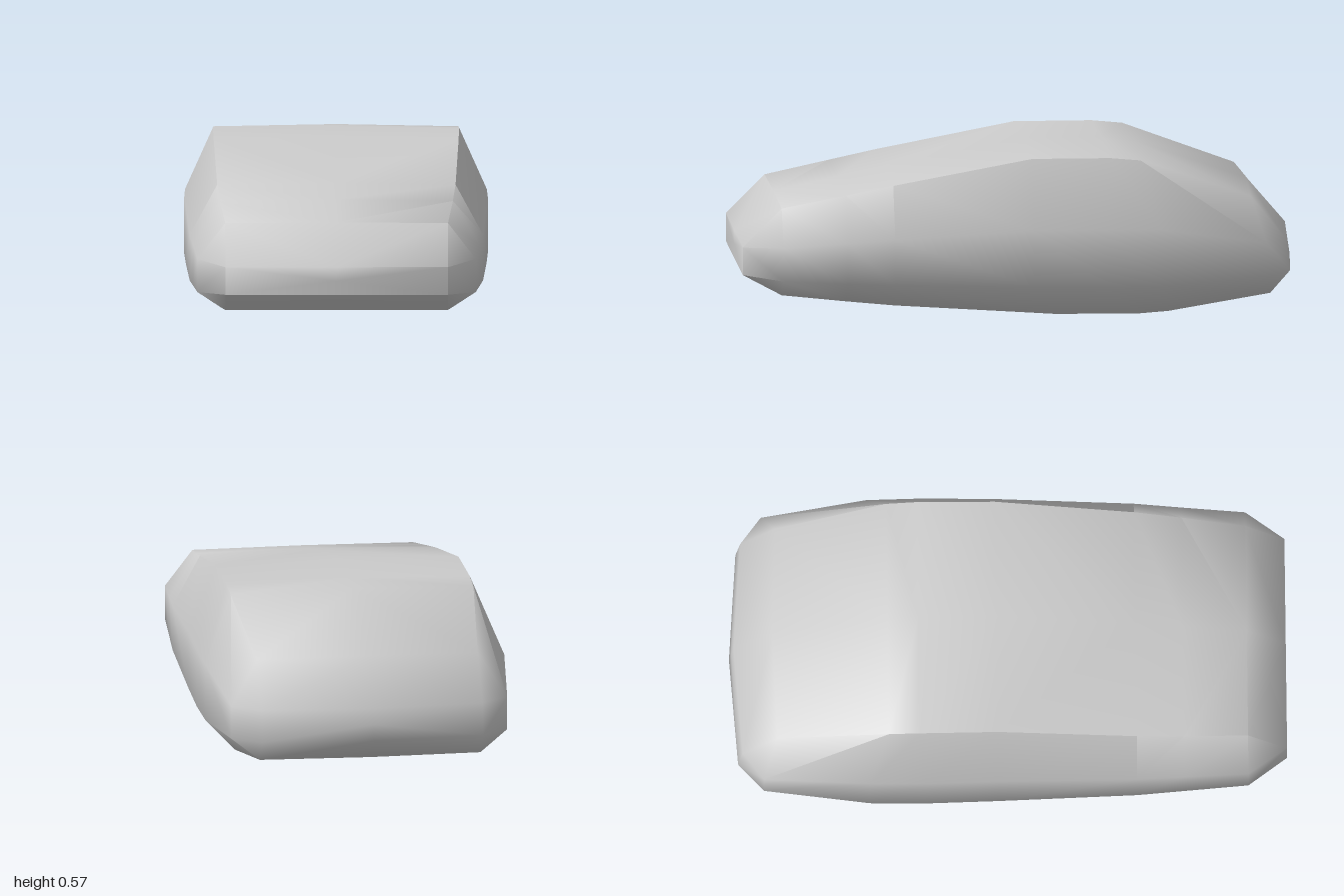
import * as THREE from 'three';
import { toCreasedNormals } from 'three/addons/utils/BufferGeometryUtils.js';

// Body stations from nose to tail:
// [z top, z side, z bottom, roof y, roof half width, side half width, side upper y, side lower y, floor y, crown up, crown back]
const STATIONS = [
  [1, 1, 1, 0.25, 0.4, 0.4, 0.25, 0.15, 0.15, 0, 0],
  [0.86, 0.86, 0.86, 0.39, 0.4, 0.5, 0.26, 0.14, 0.075, 0.003, 0],
  [0.63, 0.63, 0.63, 0.437, 0.418, 0.515, 0.277, 0.13, 0.053, 0.005, 0],
  [0.46, 0.46, 0.46, 0.472, 0.428, 0.527, 0.29, 0.125, 0.038, 0.007, 0],
  [-0.04, -0.04, -0.12, 0.566, 0.44, 0.54, 0.32, 0.115, 0.002, 0.009, 0],
  [-0.32, -0.3, -0.42, 0.566, 0.442, 0.545, 0.32, 0.112, 0, 0.009, 0],
  [-0.43, -0.5, -0.53, 0.556, 0.44, 0.542, 0.318, 0.113, 0.008, 0.008, 0],
  [-0.83, -0.88, -0.9, 0.415, 0.4, 0.5, 0.26, 0.14, 0.063, 0.006, 0.015],
  [-0.955, -0.955, -0.972, 0.26, 0.4, 0.4, 0.26, 0.145, 0.145, 0, 0.028],
];

// Closed ten-point section, running clockwise as seen from the nose
function section([zt, zs, zb, top, tw, sw, hi, lo, floor, up, back]) {
  const last = back > 0.02; // the tail edge drops its side points onto its corners
  const half = [[tw, top, zt], [sw, hi, zs], [sw, lo, last ? zb : zs], [tw, floor, zb]];
  const mirrored = half.map(([x, y, z]) => [-x, y, z]).reverse();
  return [[0, top + up, zt - back], ...half, [0, floor, zb - back], ...mirrored]
    .map((p) => new THREE.Vector3(...p));
}

function bodyGeometry() {
  const rings = STATIONS.map(section);
  const pos = [];
  const tri = (a, b, c) => {
    const area = b.clone().sub(a).cross(c.clone().sub(a)).length();
    if (area > 1e-6) for (const p of [a, b, c]) pos.push(p.x, p.y, p.z);
  };
  const n = rings[0].length;

  // Skin between neighbouring sections
  for (let i = 0; i < rings.length - 1; i++) {
    for (let j = 0; j < n; j++) {
      const k = (j + 1) % n;
      const a = rings[i][j], b = rings[i][k], c = rings[i + 1][k], d = rings[i + 1][j];
      // Mirror the diagonal so both halves match
      if (j < n / 2) { tri(a, b, c); tri(a, c, d); } else { tri(a, b, d); tri(b, c, d); }
    }
  }

  // Nose and tail faces
  const cap = (ring, isNose) => {
    const mid = ring[0].clone().add(ring[5]).multiplyScalar(0.5);
    for (let j = 0; j < n; j++) {
      const a = ring[j], b = ring[(j + 1) % n];
      if (isNose) tri(mid, b, a); else tri(mid, a, b);
    }
  };
  cap(rings[0], true);
  cap(rings[rings.length - 1], false);

  const geo = new THREE.BufferGeometry();
  geo.setAttribute('position', new THREE.Float32BufferAttribute(pos, 3));
  // Roof edges stay sharp, the rounded ends stay smooth
  return toCreasedNormals(geo, THREE.MathUtils.degToRad(60));
}

export function createModel() {
  const group = new THREE.Group();
  group.name = 'wedgeBody';
  const body = new THREE.Mesh(bodyGeometry(), new THREE.MeshStandardMaterial({ color: 0xcccccc }));
  body.name = 'bodyShell';
  group.add(body);
  return group;
}
